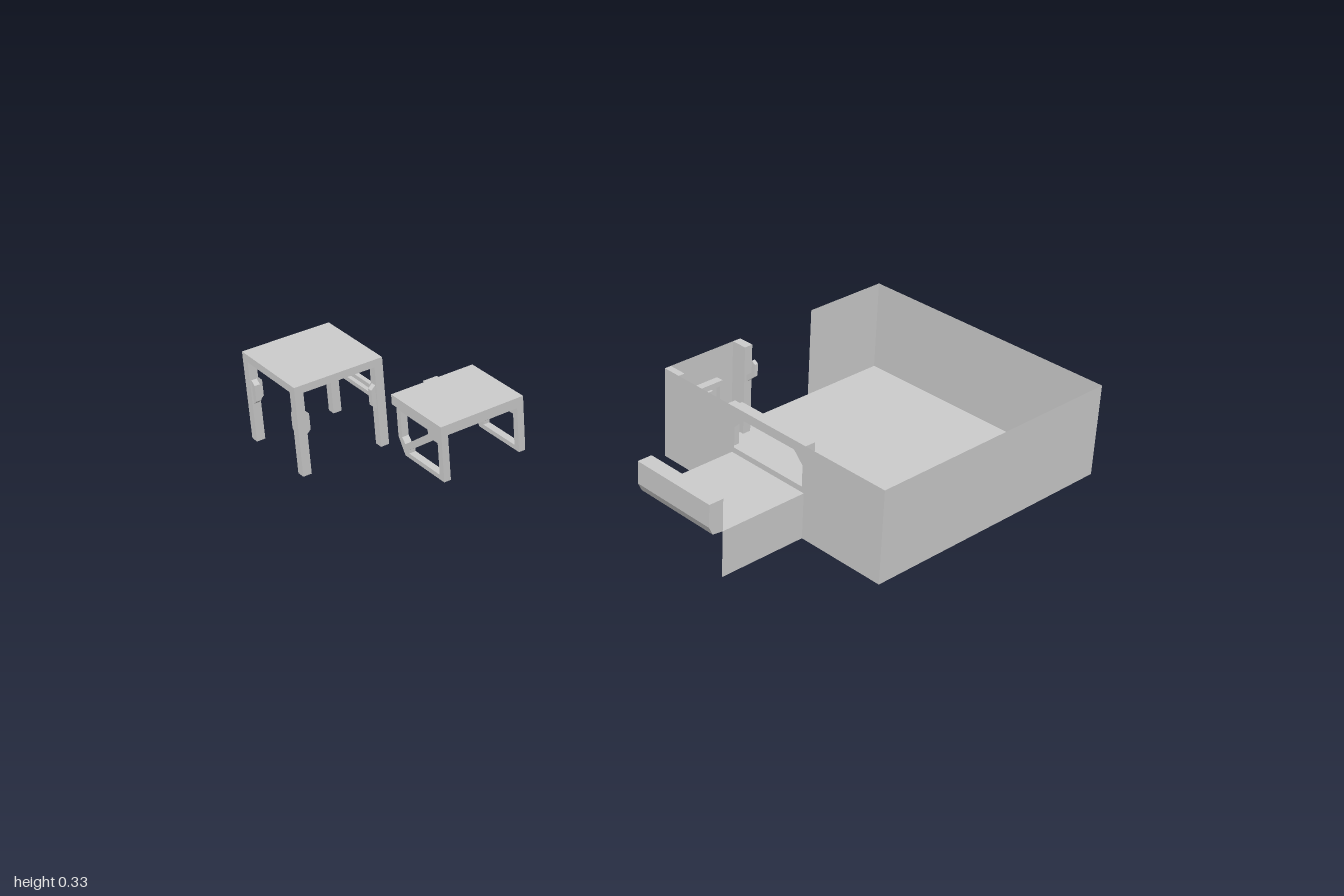
import * as THREE from 'three';

const solid = new THREE.MeshStandardMaterial({ color: 0xcccccc, flatShading: true });
const thin = new THREE.MeshStandardMaterial({ color: 0xcccccc, flatShading: true, side: THREE.DoubleSide });

export function createModel() {
  const root = new THREE.Group();
  const group = (name) => {
    const g = new THREE.Group();
    g.name = name;
    root.add(g);
    return g;
  };
  const add = (parent, name, geometry, material = solid) => {
    const mesh = new THREE.Mesh(geometry, material);
    mesh.name = name;
    parent.add(mesh);
    return mesh;
  };
  // Box given by its minimum and maximum corners
  const box = (parent, name, x0, x1, y0, y1, z0, z1) =>
    add(parent, name, new THREE.BoxGeometry(x1 - x0, y1 - y0, z1 - z0)
      .translate((x0 + x1) / 2, (y0 + y1) / 2, (z0 + z1) / 2));
  const outline = (points, holes = []) => {
    const vec = (list) => list.map(([a, b]) => new THREE.Vector2(a, b));
    const shape = new THREE.Shape(vec(points));
    for (const h of holes) shape.holes.push(new THREE.Path(vec(h)));
    return shape;
  };
  const rect = (a0, a1, b0, b1) => [[a0, b0], [a1, b0], [a1, b1], [a0, b1]];
  const extrude = (shape, depth) => new THREE.ExtrudeGeometry(shape, { depth, bevelEnabled: false });
  // (x, y) profile swept along z, and (z, y) profile swept along x
  const alongZ = (shape, z0, z1) => extrude(shape, z1 - z0).translate(0, 0, z0);
  const alongX = (shape, x0, x1) => extrude(shape, x1 - x0).rotateY(-Math.PI / 2).translate(x1, 0, 0);

  const H = 0.333, A = 0.333, B = 0.665;

  // Room shell: floor and thin walls
  const room = group('room');
  add(room, 'floor', new THREE.PlaneGeometry(1, 1).rotateX(-Math.PI / 2).translate(0.5, 0, 0.5), thin);
  add(room, 'frontWall', new THREE.PlaneGeometry(1, H).translate(0.5, H / 2, 1), thin);
  add(room, 'leftWall', new THREE.PlaneGeometry(1, H).rotateY(Math.PI / 2).translate(1, H / 2, 0.5), thin);
  add(room, 'backWall', new THREE.PlaneGeometry(1 - B, H).translate((1 + B) / 2, H / 2, 0), thin);
  const sideWall = outline(rect(0, 1, 0, H), [[[A + 0.01, 0.165], [B - 0.01, 0.165], [B - 0.01, 0.26], [B - 0.05, 0.3], [A + 0.05, 0.3], [A + 0.01, 0.26]]]);
  add(room, 'rightWall', new THREE.ShapeGeometry(sideWall).rotateY(-Math.PI / 2), thin);

  // Alcove beside the room, open at its outer end
  const alcove = group('alcove');
  const W = 0.335, mid = (A + B) / 2, D = B - A, low = 0.165;
  add(alcove, 'alcoveTop', new THREE.PlaneGeometry(W, D).rotateX(-Math.PI / 2).translate(-W / 2, low, mid));
  add(alcove, 'alcoveFloor', new THREE.PlaneGeometry(W, D).rotateX(Math.PI / 2).translate(-W / 2, 0, mid));
  add(alcove, 'alcoveFront', new THREE.PlaneGeometry(W, low).translate(-W / 2, low / 2, B));
  add(alcove, 'alcoveBack', new THREE.PlaneGeometry(W, low).rotateY(Math.PI).translate(-W / 2, low / 2, A));
  const rest = outline([[-0.375, 0.17], [-0.335, 0.165], [-0.335, 0.28], [-0.39, 0.28], [-0.39, 0.2]]);
  add(alcove, 'endRail', alongZ(rest, A, B));
  box(alcove, 'openingSill', 0, 0.04, 0.14, 0.185, A, B);
  box(alcove, 'openingHeader', 0, 0.04, 0.3, H, A, B);
  box(alcove, 'openingPost', 0, 0.03, 0, H, 0.31, A);

  // Panel with framed hatch, lower slot and side posts
  const panel = group('hatchPanel');
  const face = outline(rect(0, A, 0, H), [rect(0.1, 0.23, 0.14, 0.2), rect(0.1, 0.23, 0.035, 0.07)]);
  add(panel, 'panelFace', new THREE.ShapeGeometry(face), thin);
  const frame = outline([[0.1, 0.12], [0.23, 0.12], [0.25, 0.14], [0.25, 0.2], [0.23, 0.22], [0.1, 0.22], [0.08, 0.2], [0.08, 0.14]],
    [rect(0.11, 0.22, 0.14, 0.2)]);
  add(panel, 'hatchFrame', alongZ(frame, -0.012, 0.028));
  box(panel, 'hatchPlate', 0.11, 0.22, 0.14, 0.2, 0.002, 0.01);
  add(panel, 'hatchInset', alongZ(outline(rect(0.135, 0.195, 0.152, 0.188), [rect(0.148, 0.182, 0.16, 0.18)]), -0.005, 0.02));
  add(panel, 'slotFrame', alongZ(outline(rect(0.085, 0.245, 0.02, 0.085), [rect(0.1, 0.23, 0.035, 0.07)]), 0, 0.022));
  box(panel, 'slotPlate', 0.1, 0.23, 0.035, 0.07, 0.002, 0.008);
  for (const [x0, x1, d] of [[0, 0.025, 0.07], [0.3, A, 0.06]]) {
    box(panel, 'panelPost', x0, x1, 0, H, 0, d);
    const c = (x0 + x1) / 2;
    const hook = outline([[d, 0.2], [d + 0.04, 0.235], [d + 0.04, 0.28], [d + 0.025, 0.29], [d + 0.025, 0.245], [d, 0.225]]);
    add(panel, 'panelHook', alongX(hook, c - 0.007, c + 0.007));
  }

  // Tall table: slab, four legs with swollen collars, double rail on one side
  const tall = group('tallTable');
  const cx = -0.8325, half = 0.1675, leg = 0.032;
  box(tall, 'tableTop', cx - half, cx + half, 0.305, H, cx - half, cx + half);
  for (const sx of [-1, 1]) for (const sz of [-1, 1]) {
    const px = cx + sx * (half - leg / 2), pz = cx + sz * (half - leg / 2);
    box(tall, 'tableLeg', px - leg / 2, px + leg / 2, 0, 0.305, pz - leg / 2, pz + leg / 2);
    const i = cx + sz * (half - leg), n = cx + sz * (half - leg - 0.018);
    const collar = [[i, 0.145], [n, 0.16], [n, 0.22], [i, 0.235]];
    add(tall, 'legCollarZ', alongX(outline(collar), px - 0.01, px + 0.01));
    const j = cx + sx * (half - leg), m = cx + sx * (half - leg - 0.016);
    add(tall, 'legCollarX', alongZ(outline([[j, 0.145], [m, 0.16], [m, 0.22], [j, 0.235]]), pz - 0.01, pz + 0.01));
  }
  const rx = cx + half - leg / 2;
  for (const y of [0.168, 0.2])
    box(tall, 'sideRail', rx - 0.008, rx + 0.008, y, y + 0.016, cx - half + leg, cx + half - leg);

  // Low table: slab on two braced sled frames
  const lowTable = group('lowTable');
  box(lowTable, 'lowTableTop', -0.665, -0.335, 0.17, 0.208, -0.627, -0.335);
  box(lowTable, 'backTab', -0.53, -0.475, 0.178, 0.208, -0.637, -0.627);
  const sled = outline(
    [[-0.335, 0], [-0.565, 0], [-0.6, 0.06], [-0.6, 0.17], [-0.335, 0.17]],
    [
      [[-0.415, 0.165], [-0.577, 0.165], [-0.577, 0.065], [-0.56, 0.045], [-0.415, 0.148]],
      [[-0.36, 0.138], [-0.385, 0.138], [-0.54, 0.03], [-0.54, 0.018], [-0.36, 0.018]],
    ]);
  for (const x of [-0.665, -0.361]) add(lowTable, 'sledFrame', alongX(sled, x, x + 0.026));

  return root;
}
